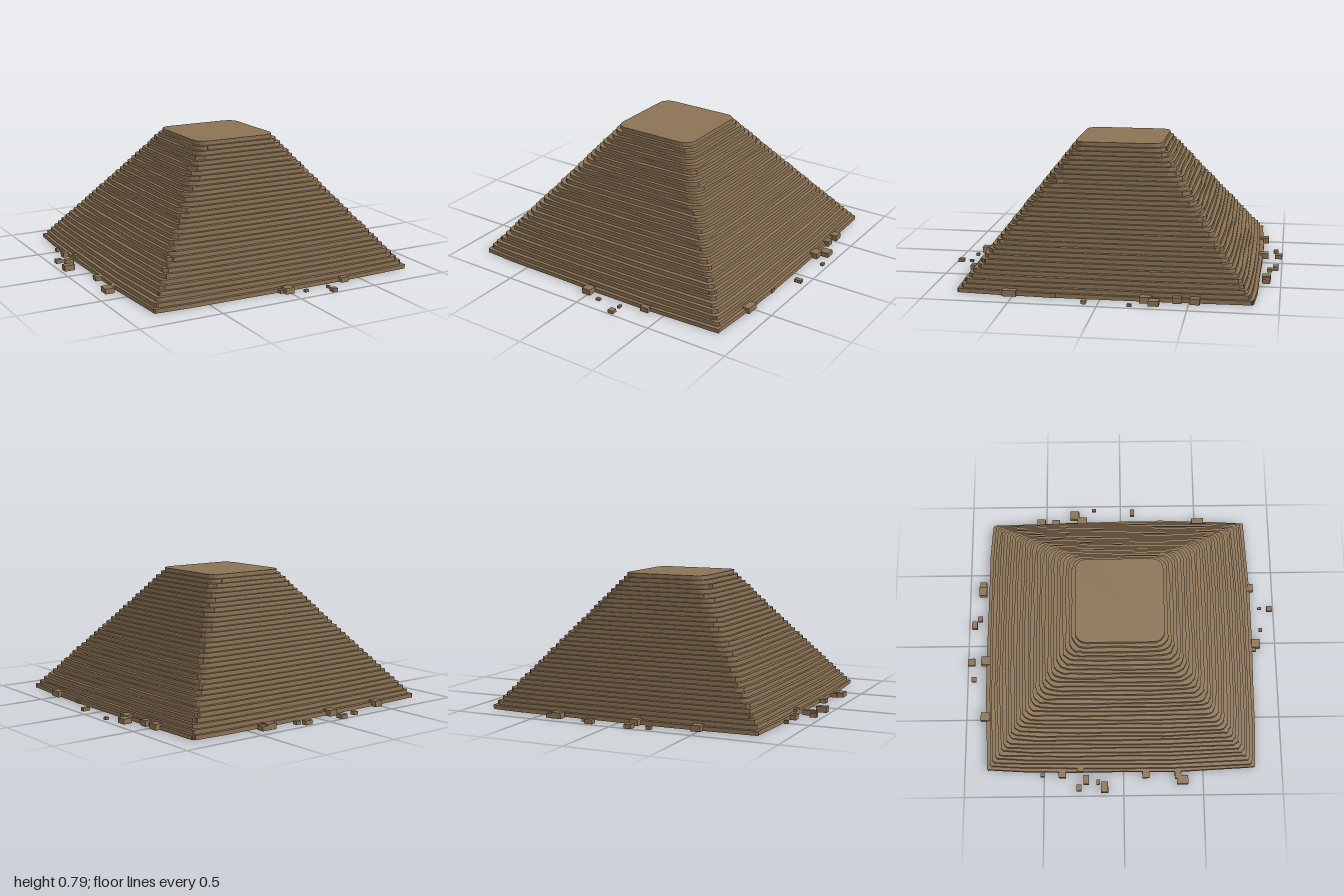
import * as THREE from 'three';

const LAYERS = 32, HEIGHT = 0.785, CX = 0.012, CZ = -0.015;

function seeded(seed) {
  return () => {
    seed = (seed * 16807) % 2147483647;
    return seed / 2147483647;
  };
}

// Outline of one layer: a rounded square with slightly bulging, uneven sides
function outline(half, radius, bulge, rough, rand) {
  const points = [];
  const add = (x, z) => {
    const u = x / half, v = z / half;
    points.push([
      CX + x + bulge * u * (1 - v ** 4) + u * (rand() - 0.5) * rough,
      CZ + z + bulge * v * (1 - u ** 4) + v * (rand() - 0.5) * rough,
    ]);
  };
  for (let q = 0; q < 4; q++) {
    const c = Math.round(Math.cos(q * Math.PI / 2)), s = Math.round(Math.sin(q * Math.PI / 2));
    const turn = (x, z) => add(x * c - z * s, x * s + z * c);
    for (const f of [-0.4, 0, 0.4, 0.75]) turn(half, f * half);
    for (let i = 0; i < 5; i++) {
      const a = i / 4 * Math.PI / 2;
      turn(half - radius + radius * Math.cos(a), half - radius + radius * Math.sin(a));
    }
  }
  return points;
}

// Hollow stepped shell: each layer has a riser, then a tread to the next layer
function steppedShell() {
  const rand = seeded(71);
  const rings = [];
  for (let i = 0; i < LAYERS; i++) {
    const t = i / (LAYERS - 1);
    const half = 0.842 + (0.265 - 0.842) * t;
    const radius = 0.012 + 0.055 * Math.min(1, t * 1.6);
    const rough = t === 1 ? 0 : 0.009;
    const layer = outline(half, radius, 0.02 * (1 - t), rough, rand);
    for (const y of [i, i + 1]) {
      rings.push(layer.map(([x, z]) => [x, y * HEIGHT / LAYERS, z]));
    }
  }
  const pos = [];
  const tri = (...corners) => corners.forEach(p => pos.push(...p));
  const n = rings[0].length;
  for (let r = 0; r + 1 < rings.length; r++) {
    const low = rings[r], high = rings[r + 1];
    for (let i = 0; i < n; i++) {
      const j = (i + 1) % n;
      tri(low[i], high[i], low[j]);
      tri(high[i], high[j], low[j]);
    }
  }
  // Flat top
  const top = rings[rings.length - 1];
  for (let i = 0; i < n; i++) tri([CX, HEIGHT, CZ], top[(i + 1) % n], top[i]);
  const geometry = new THREE.BufferGeometry();
  geometry.setAttribute('position', new THREE.Float32BufferAttribute(pos, 3));
  geometry.computeVertexNormals();
  return geometry;
}

// Loose blocks around the foot: x, z, width, depth, height
const BACK = [
  [-0.23, -0.96, 0.03, 0.03, 0.02], [-0.115, -0.978, 0.045, 0.045, 0.025],
  [-0.11, -0.885, 0.055, 0.06, 0.035], [-0.485, -0.88, 0.055, 0.055, 0.035],
  [0.14, -0.965, 0.05, 0.035, 0.025], [0.185, -0.93, 0.035, 0.03, 0.02],
  [0.375, -0.915, 0.06, 0.05, 0.035], [0.42, -0.915, 0.04, 0.045, 0.025],
];
const RIGHT = [
  [0.872, -0.535, 0.045, 0.055, 0.035], [0.87, -0.435, 0.035, 0.05, 0.035],
  [0.925, -0.31, 0.055, 0.06, 0.03], [0.875, -0.26, 0.06, 0.065, 0.035],
  [0.967, -0.18, 0.02, 0.025, 0.015], [0.945, 0.08, 0.045, 0.028, 0.02],
  [0.872, 0.27, 0.02, 0.035, 0.02], [0.865, 0.52, 0.05, 0.08, 0.035],
];
const LEFT = [
  [-0.867, -0.51, 0.02, 0.025, 0.02], [-0.867, -0.385, 0.035, 0.045, 0.03],
  [-0.95, -0.28, 0.04, 0.03, 0.025], [-0.83, -0.27, 0.04, 0.045, 0.04],
  [-0.9, -0.235, 0.055, 0.035, 0.03], [-0.913, -0.16, 0.03, 0.02, 0.015],
  [-0.948, -0.12, 0.065, 0.045, 0.035], [-0.87, 0.14, 0.04, 0.045, 0.025],
  [-0.905, 0.37, 0.055, 0.07, 0.03], [-0.873, 0.342, 0.045, 0.04, 0.025],
];
const FRONT = [
  [-0.01, 0.872, 0.055, 0.055, 0.035], [-0.045, 0.86, 0.03, 0.025, 0.02],
  [0.09, 0.91, 0.025, 0.02, 0.015], [0.24, 0.91, 0.015, 0.025, 0.015],
  [0.235, 0.975, 0.035, 0.035, 0.02], [0.383, 0.855, 0.05, 0.035, 0.03],
];

export function createModel() {
  const group = new THREE.Group();
  group.name = 'steppedPyramid';
  const stone = new THREE.MeshStandardMaterial({
    name: 'brownStone', color: 0x8b7355, flatShading: true, side: THREE.DoubleSide,
  });

  const shell = new THREE.Mesh(steppedShell(), stone);
  shell.name = 'pyramidLayers';
  group.add(shell);

  const rubble = new THREE.Group();
  rubble.name = 'rubble';
  for (const [x, z, w, d, h] of [...BACK, ...RIGHT, ...LEFT, ...FRONT]) {
    const block = new THREE.Mesh(new THREE.BoxGeometry(w, h, d), stone);
    block.name = 'rubbleBlock';
    block.position.set(x, h / 2, z);
    rubble.add(block);
  }
  group.add(rubble);
  return group;
}
